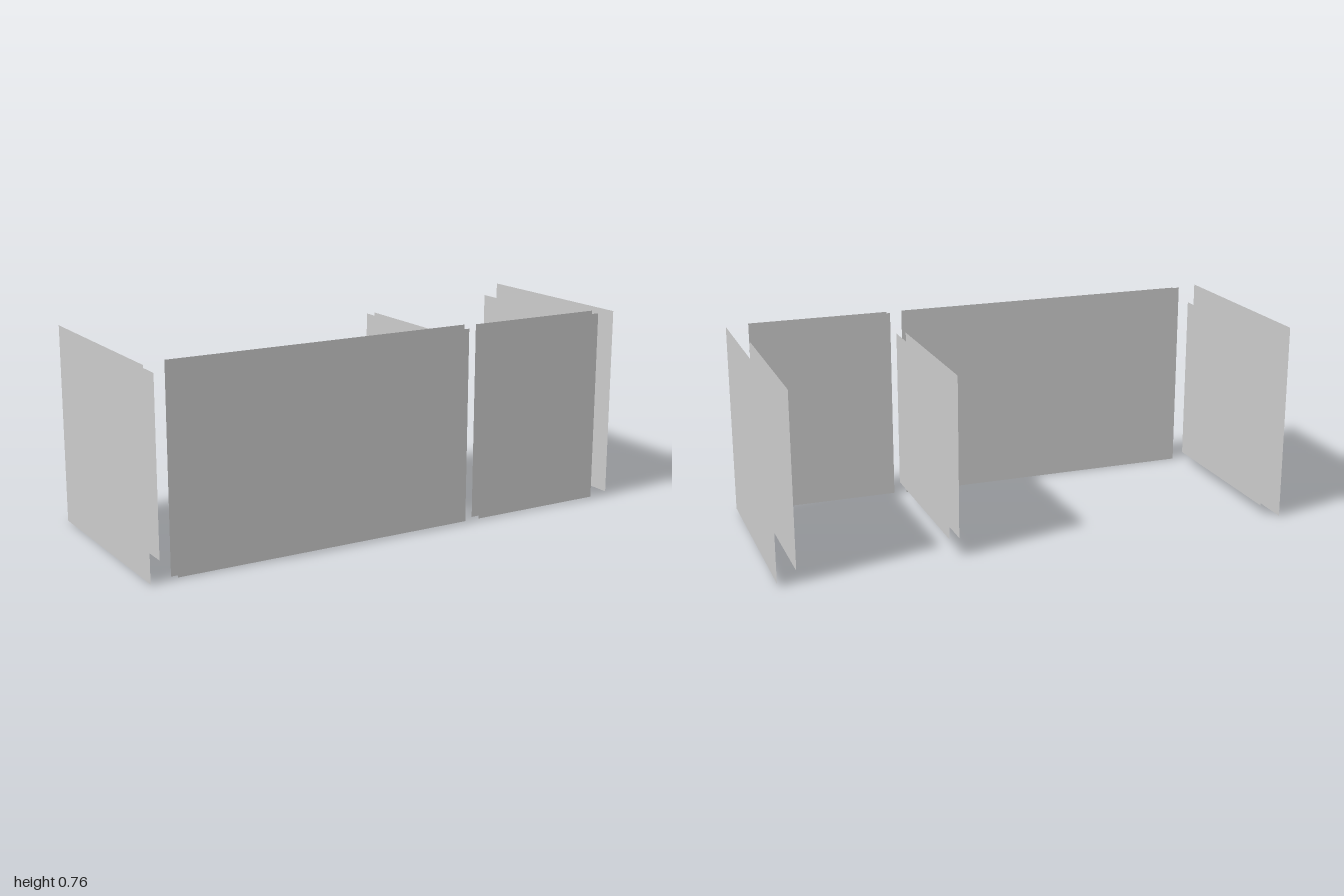
import * as THREE from 'three';

const material = new THREE.MeshStandardMaterial({ color: 0xcccccc, side: THREE.DoubleSide });

// Thin upright sheet: [a0, a1] is its horizontal span, [y0, y1] its height span
function sheet(name, [a0, a1], [y0, y1]) {
  const mesh = new THREE.Mesh(new THREE.PlaneGeometry(a1 - a0, y1 - y0), material);
  mesh.name = name;
  mesh.position.y = (y0 + y1) / 2;
  return mesh;
}

// Sheet facing the front, at depth z
function frontSheet(name, z, xSpan, ySpan) {
  const mesh = sheet(name, xSpan, ySpan);
  mesh.position.x = (xSpan[0] + xSpan[1]) / 2;
  mesh.position.z = z;
  return mesh;
}

// Sheet facing sideways, at x
function sideSheet(name, x, zSpan, ySpan) {
  const mesh = sheet(name, zSpan, ySpan);
  mesh.rotation.y = Math.PI / 2;
  mesh.position.x = x;
  mesh.position.z = (zSpan[0] + zSpan[1]) / 2;
  return mesh;
}

export function createModel() {
  const model = new THREE.Group();
  model.name = 'panelScreen';

  model.add(
    // Wide front panel, outer and inner skins
    frontSheet('wideFrontOuter', 0.4, [-0.9, 0.298], [0.008, 0.757]),
    frontSheet('wideFrontInner', 0.36, [-0.909, 0.305], [0, 0.765]),
    // Narrow front panel
    frontSheet('narrowFrontOuter', 0.4, [0.359, 0.911], [0.008, 0.757]),
    frontSheet('narrowFrontInner', 0.36, [0.356, 0.914], [0.004, 0.761]),
    // End panels
    sideSheet('leftEndOuter', 1, [-0.389, 0.385], [0.012, 0.755]),
    sideSheet('rightEndOuter', -1, [-0.4, 0.395], [0, 0.764])
  );
  for (const [name, side] of [['left', 1], ['right', -1]]) {
    model.add(sideSheet(name + 'EndInner', side * 0.927, [-0.378, 0.307], [0.045, 0.712]));
  }

  // Divider between the two bays
  for (const [name, x] of [['dividerRightSkin', 0.312], ['dividerLeftSkin', 0.35]]) {
    model.add(sideSheet(name, x, [-0.352, 0.296], [0.072, 0.693]));
  }
  return model;
}
